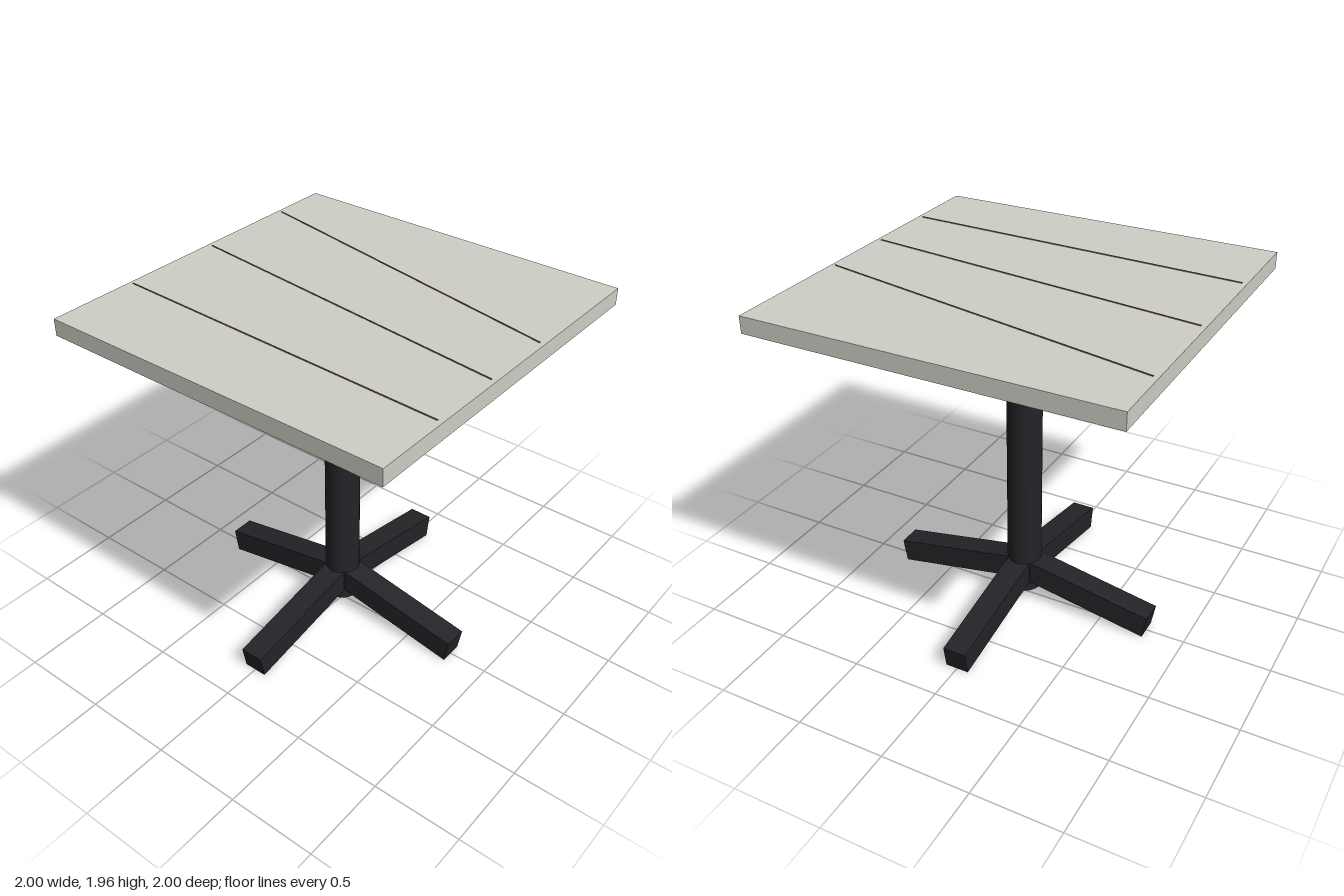
import * as THREE from 'three';

export function createModel() {
  const model = new THREE.Group();
  const stone = new THREE.MeshStandardMaterial({ color: 0xcfcfc6 });
  const vein = new THREE.MeshStandardMaterial({ color: 0x857a70 });
  const metal = new THREE.MeshStandardMaterial({ color: 0x232427 });

  const add = (name, geometry, material, parent = model) => {
    const mesh = new THREE.Mesh(geometry, material);
    mesh.name = name;
    parent.add(mesh);
    return mesh;
  };

  // Square table top
  const topY = 1.95, topThickness = 0.093;
  add('tableTop', new THREE.BoxGeometry(2, topThickness, 2), stone).position.y = topY - topThickness / 2;

  // Thin veins lying on the top: z at the -x end, z at the +x end
  const reach = 0.973;
  [[-0.662, -0.266], [-0.082, 0.156], [0.499, 0.578]].forEach(([z0, z1], i) => {
    const length = Math.hypot(2 * reach, z1 - z0);
    const line = add(`vein${i + 1}`, new THREE.BoxGeometry(length, 0.006, 0.005), vein);
    line.position.set(0, topY + 0.002, (z0 + z1) / 2);
    line.rotation.y = -Math.atan2(z1 - z0, 2 * reach);
  });

  // Round column, ending just short of the top
  const columnBottom = 0.07, columnTop = 1.83;
  add('column', new THREE.CylinderGeometry(0.098, 0.098, columnTop - columnBottom, 32), metal)
    .position.y = (columnBottom + columnTop) / 2;

  // Four sloping feet, each with its lowest outer edge on the floor
  const length = 0.8, size = 0.134, tilt = 0.18;
  const outerX = 0.8 - size / 2 * Math.sin(tilt);
  const outerY = size / 2 * Math.cos(tilt);
  for (let i = 0; i < 4; i++) {
    const arm = new THREE.Group();
    arm.name = `foot${i + 1}`;
    arm.rotation.y = i * Math.PI / 2;
    const bar = add('footBar', new THREE.BoxGeometry(length, size, size), metal, arm);
    bar.position.set(outerX - length / 2 * Math.cos(tilt), outerY + length / 2 * Math.sin(tilt), 0);
    bar.rotation.z = -tilt;
    model.add(arm);
  }

  return model;
}
